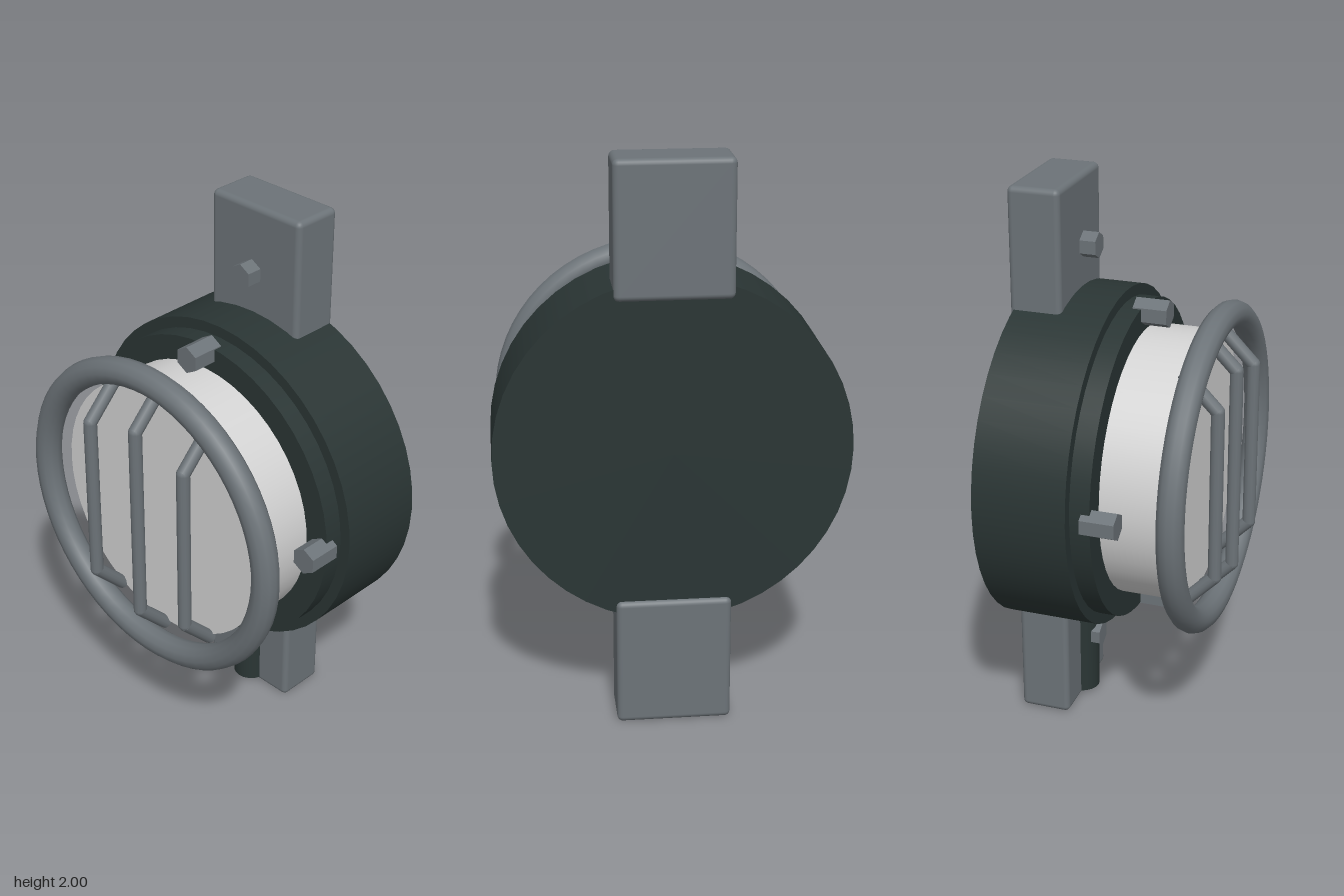
import * as THREE from 'three';
import { RoundedBoxGeometry } from 'three/addons/geometries/RoundedBoxGeometry.js';

export function createModel() {
  const model = new THREE.Group();
  model.name = 'guardedLamp';
  const material = (name, color) => {
    const m = new THREE.MeshStandardMaterial({ color });
    m.name = name;
    return m;
  };
  const steel = material('steel grey', 0x6c7378);
  const dark = material('dark housing', 0x2a3534);
  const lens = material('lens white', 0xd3d3d3);
  const CY = 1; // height of the lamp axis

  const add = (parent, name, geometry, mat, x = 0, y = 0, z = 0) => {
    const mesh = new THREE.Mesh(geometry, mat);
    mesh.name = name;
    mesh.position.set(x, y, z);
    parent.add(mesh);
    return mesh;
  };
  // Cylinder lying along z between two depths
  const disc = (name, r, z0, z1, mat, x = 0, y = CY, sides = 48) => {
    const g = new THREE.CylinderGeometry(r, r, z1 - z0, sides).rotateX(Math.PI / 2);
    if (sides > 6) return add(model, name, g, mat, x, y, (z0 + z1) / 2);
    const flat = g.toNonIndexed();
    flat.computeVertexNormals();
    return add(model, name, flat, mat, x, y, (z0 + z1) / 2);
  };

  // Housing, flange and lens drum
  disc('housing', 0.61, -0.37, -0.04, dark);
  disc('flange', 0.57, -0.05, 0.03, dark);
  disc('lens', 0.48, 0.0, 0.24, lens);

  // Mounting brackets with their bolts
  for (const [name, y0, y1, boltY] of [['upper', 1.535, 2, 1.765], ['lower', 0, 0.465, 0.245]]) {
    add(model, name + 'Bracket', new RoundedBoxGeometry(0.4, y1 - y0, 0.185, 3, 0.02),
      steel, 0, (y0 + y1) / 2, -0.2925);
    disc(name + 'BracketBolt', 0.046, -0.19, -0.133, steel, 0, boltY, 6);
  }

  // Cable conduit running down the lower bracket
  add(model, 'conduit', new THREE.CylinderGeometry(0.067, 0.067, 0.46, 20), dark, 0, 0.245, -0.22);

  // Hex bolts around the flange
  for (let i = 0; i < 4; i++) {
    const a = i * Math.PI / 2;
    disc('flangeBolt', 0.049, 0, 0.12, steel, 0.547 * Math.cos(a), CY + 0.547 * Math.sin(a), 6);
  }

  // Guard ring
  add(model, 'guardRing', new THREE.TorusGeometry(0.54, 0.048, 12, 64), steel, 0, CY, 0.296);

  // Bent guard bars: straight rods joined by small spheres
  const R = 0.024;
  const up = new THREE.Vector3(0, 1, 0);
  for (const [x, end] of [[-0.226, 0.435], [0, 0.495], [0.226, 0.435]]) {
    const bar = new THREE.Group();
    bar.name = 'guardBar';
    const bend = end - 0.125;
    const pts = [[-end, 0.238], [-bend, 0.36], [bend, 0.36], [end, 0.238]]
      .map(([y, z]) => new THREE.Vector3(x, CY + y, z));
    for (let i = 0; i < 3; i++) {
      const d = pts[i + 1].clone().sub(pts[i]);
      const rod = add(bar, 'rod', new THREE.CylinderGeometry(R, R, d.length(), 12), steel);
      rod.position.copy(pts[i]).addScaledVector(d, 0.5);
      rod.quaternion.setFromUnitVectors(up, d.normalize());
    }
    for (const p of [pts[1], pts[2]]) {
      add(bar, 'bend', new THREE.SphereGeometry(R, 12, 8), steel, p.x, p.y, p.z);
    }
    model.add(bar);
  }
  return model;
}
